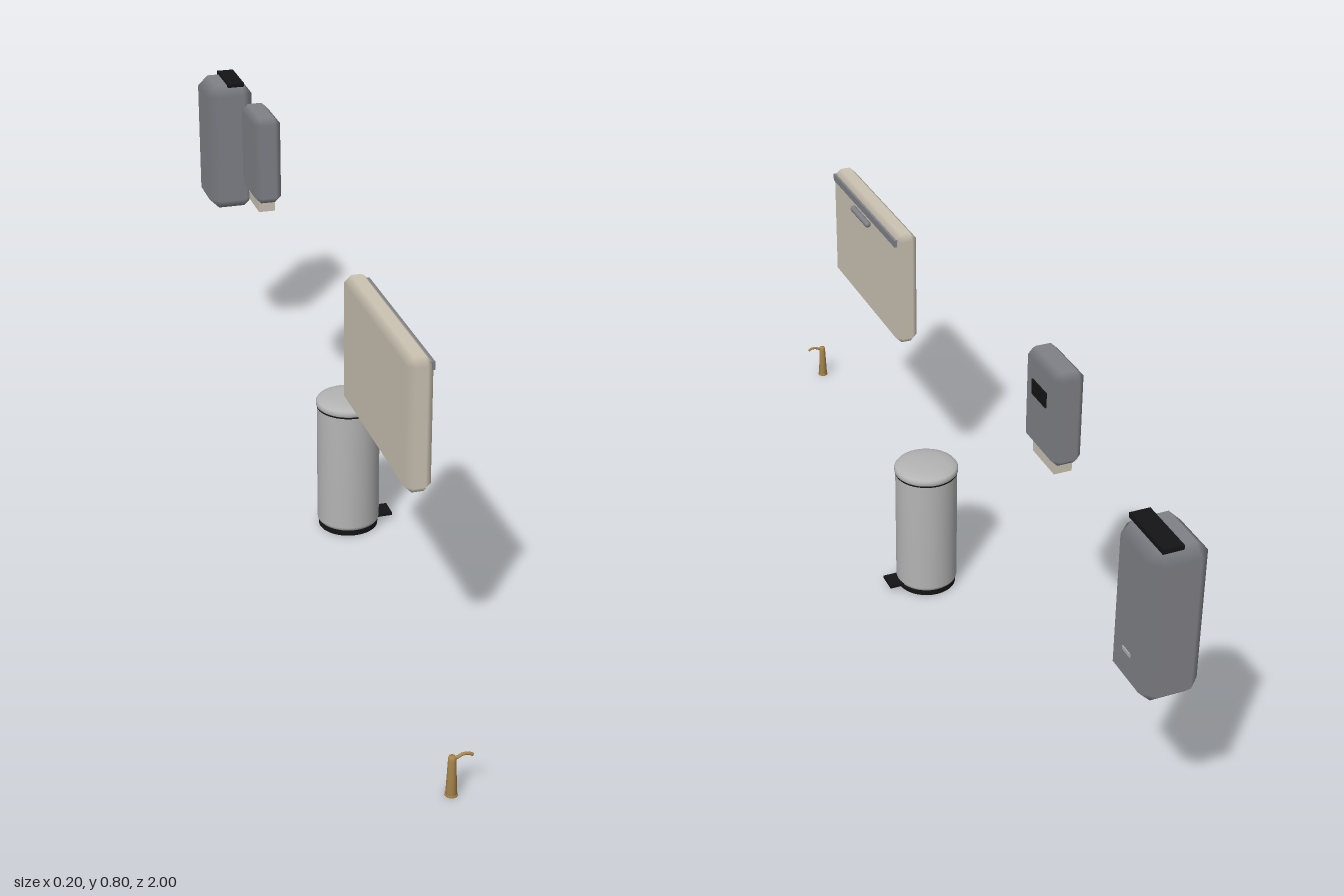
import * as THREE from 'three';
import { ConvexGeometry } from 'three/addons/geometries/ConvexGeometry.js';

const mat = (color, side = THREE.FrontSide) => new THREE.MeshStandardMaterial({ color, side });
const cream = mat(0xcbc3b3), grey = mat(0x808187), steel = mat(0xb4b4b4, THREE.DoubleSide);
const black = mat(0x141416), brass = mat(0xa8864c, THREE.DoubleSide), pale = mat(0xb0b0b4);

function add(parent, name, geometry, material, x = 0, y = 0, z = 0) {
  const mesh = new THREE.Mesh(geometry, material);
  mesh.name = name;
  mesh.position.set(x, y, z);
  parent.add(mesh);
  return mesh;
}

function group(parent, name) {
  const g = new THREE.Group();
  g.name = name;
  parent.add(g);
  return g;
}

// Box given by its limits on each axis
function box(parent, name, material, [x0, x1], [y0, y1], [z0, z1]) {
  return add(parent, name, new THREE.BoxGeometry(x1 - x0, y1 - y0, z1 - z0), material,
    (x0 + x1) / 2, (y0 + y1) / 2, (z0 + z1) / 2);
}

// Box with one-step bevels: flat faces, smooth shading across the bevels
function softBox(parent, name, material, [x0, x1], [y0, y1], [z0, z1], bevel) {
  const half = [(x1 - x0) / 2, (y1 - y0) / 2, (z1 - z0) / 2];
  const points = [];
  for (let axis = 0; axis < 3; axis++)
    for (const sx of [-1, 1]) for (const sy of [-1, 1]) for (const sz of [-1, 1]) {
      const p = [sx, sy, sz].map((s, i) => s * (half[i] - (i === axis ? 0 : bevel)));
      points.push(new THREE.Vector3(...p));
    }
  const geometry = new ConvexGeometry(points);
  const pos = geometry.attributes.position, normal = geometry.attributes.normal;
  for (let i = 0; i < pos.count; i++) {
    const p = [pos.getX(i), pos.getY(i), pos.getZ(i)];
    normal.setXYZ(i, ...p.map((v, k) => (Math.abs(v) > half[k] - 1e-4 ? Math.sign(v) : 0)));
  }
  return add(parent, name, geometry, material, (x0 + x1) / 2, (y0 + y1) / 2, (z0 + z1) / 2);
}

const lathe = (points, sides = 48) =>
  new THREE.LatheGeometry(points.map(([r, y]) => new THREE.Vector2(r, y)), sides);

export function createModel() {
  const model = new THREE.Group();
  model.name = 'washroomFittings';

  // Tap: tapered column with a curved spout
  const tap = group(model, 'tap');
  tap.position.set(-0.089, 0, 0.988);
  add(tap, 'tapFoot', new THREE.CylinderGeometry(0.012, 0.012, 0.003, 24), brass, 0, 0.0015, 0);
  add(tap, 'tapColumn', lathe([[0, 0.002], [0.0105, 0.002], [0.0075, 0.07], [0.0075, 0.077],
    [0.006, 0.081], [0, 0.081]], 24), brass);
  const spout = new THREE.CatmullRomCurve3([[0, 0.073], [0.009, 0.077], [0.02, 0.082],
    [0.031, 0.081], [0.038, 0.077]].map(([x, y]) => new THREE.Vector3(x, y, 0)));
  add(tap, 'tapSpout', new THREE.TubeGeometry(spout, 20, 0.003, 10), brass);

  // Pedal bin
  const bin = group(model, 'pedalBin');
  bin.position.set(0.006, 0, 0.028);
  add(bin, 'binBase', new THREE.CylinderGeometry(0.064, 0.064, 0.012, 48), black, 0, 0.006, 0);
  add(bin, 'binBody', lathe([[0, 0.011], [0.062, 0.011], [0.066, 0.015], [0.067, 0.02],
    [0.067, 0.15], [0.067, 0.282], [0.065, 0.287]]), steel);
  add(bin, 'binSeam', new THREE.CylinderGeometry(0.0675, 0.0675, 0.004, 48), black, 0, 0.286, 0);
  add(bin, 'binLid', lathe([[0.067, 0.287], [0.069, 0.289], [0.069, 0.296], [0.066, 0.3],
    [0.056, 0.3045], [0.04, 0.307], [0.02, 0.3085], [0, 0.309]]), steel);
  box(bin, 'binPedal', black, [0.04, 0.094], [0.012, 0.018], [-0.022, 0.022]);

  // Fold-down wall table
  const table = group(model, 'foldDownTable');
  softBox(table, 'tablePanel', cream, [-0.088, -0.038], [0.443, 0.709], [0.302, 0.712], 0.014);
  box(table, 'tableHinge', grey, [-0.05, -0.036], [0.682, 0.698], [0.312, 0.702]);
  const handle = add(table, 'tableHandle', new THREE.CapsuleGeometry(0.007, 0.09, 6, 12), grey,
    -0.031, 0.672, 0.511);
  handle.rotation.x = Math.PI / 2;

  // Soap dispenser
  const soap = group(model, 'soapDispenser');
  softBox(soap, 'soapBody', grey, [-0.088, -0.028], [0.598, 0.796], [-0.518, -0.379], 0.014);
  box(soap, 'soapWindow', black, [-0.035, -0.025], [0.712, 0.743], [-0.478, -0.418]);
  box(soap, 'soapNozzle', cream, [-0.077, -0.04], [0.574, 0.602], [-0.495, -0.402]);

  // Towel dispenser
  const towel = group(model, 'towelDispenser');
  softBox(towel, 'towelBody', grey, [-0.088, 0.025], [0.41, 0.725], [-1, -0.857], 0.024);
  box(towel, 'towelSlot', black, [-0.036, 0.004], [0.722, 0.731], [-0.988, -0.868]);
  box(towel, 'towelLock', pale, [0.02, 0.027], [0.485, 0.492], [-0.942, -0.914]);

  return model;
}
